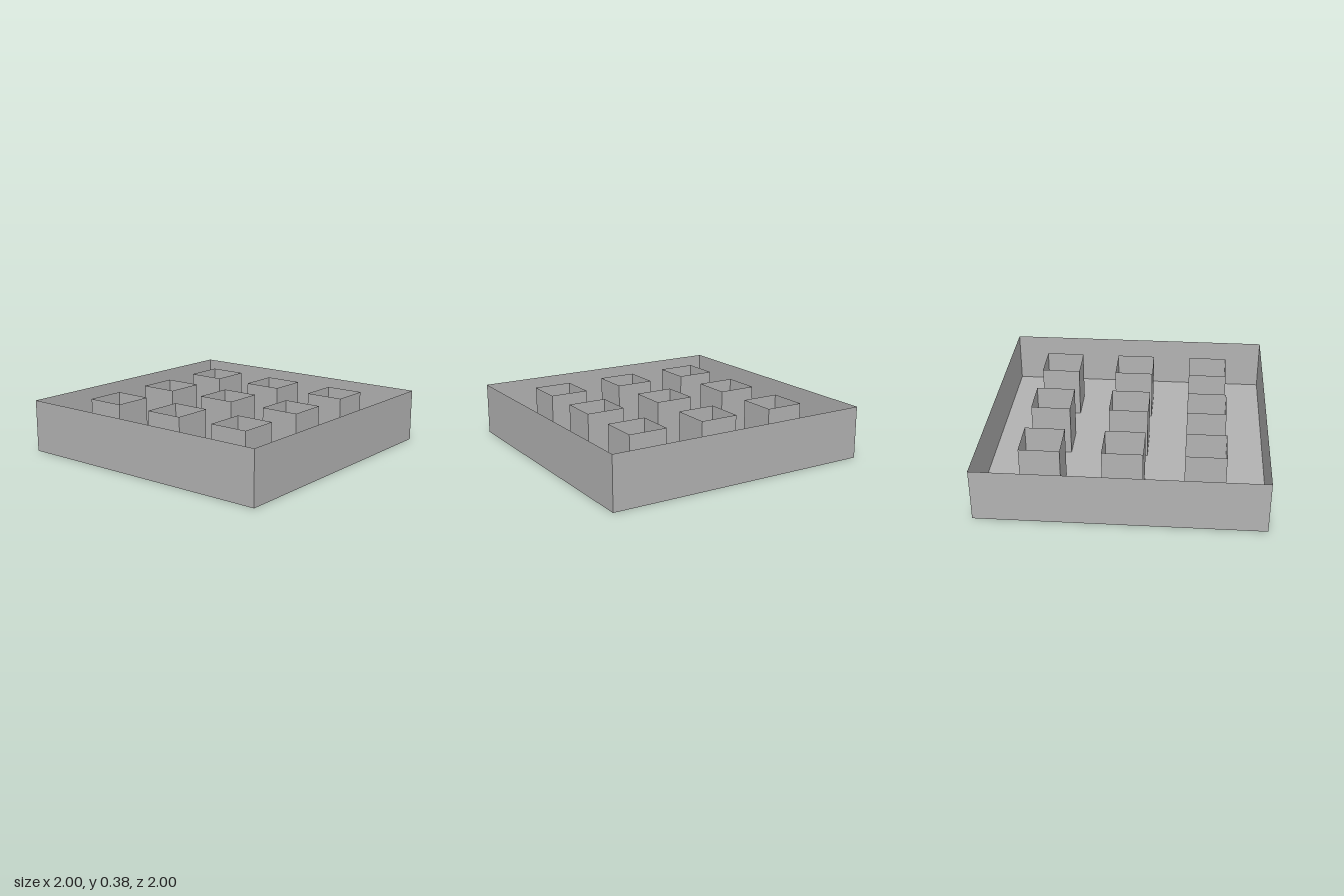
import * as THREE from 'three';

const SIZE = 2;
const HEIGHT = 0.383;
const CELL = SIZE / 7; // tubes fill every second cell of a 7 x 7 grid

// Four thin upright walls around a square, open at top and bottom
function squareTube(width, height) {
  const r = width / Math.SQRT2;
  const indexed = new THREE.CylinderGeometry(r, r, height, 4, 1, true);
  indexed.rotateY(Math.PI / 4);
  indexed.translate(0, height / 2, 0);
  const geometry = indexed.toNonIndexed();
  geometry.computeVertexNormals(); // flat faces
  return geometry;
}

export function createModel() {
  const model = new THREE.Group();
  model.name = 'dividedTray';
  const grey = new THREE.MeshStandardMaterial({ color: 0xb2b2b2, side: THREE.DoubleSide });
  grey.name = 'grey';

  const add = (name, geometry, x = 0, z = 0) => {
    const mesh = new THREE.Mesh(geometry, grey);
    mesh.name = name;
    mesh.position.set(x, 0, z);
    model.add(mesh);
  };

  // Tray: floor and outer walls
  add('floor', new THREE.PlaneGeometry(SIZE, SIZE).rotateX(-Math.PI / 2));
  add('outerWalls', squareTube(SIZE, HEIGHT));

  // Three by three open square tubes, level with the rim
  const tube = squareTube(CELL, HEIGHT);
  for (let row = -1; row <= 1; row++) {
    for (let column = -1; column <= 1; column++) {
      add('squareTube', tube, column * 2 * CELL, row * 2 * CELL);
    }
  }
  return model;
}
